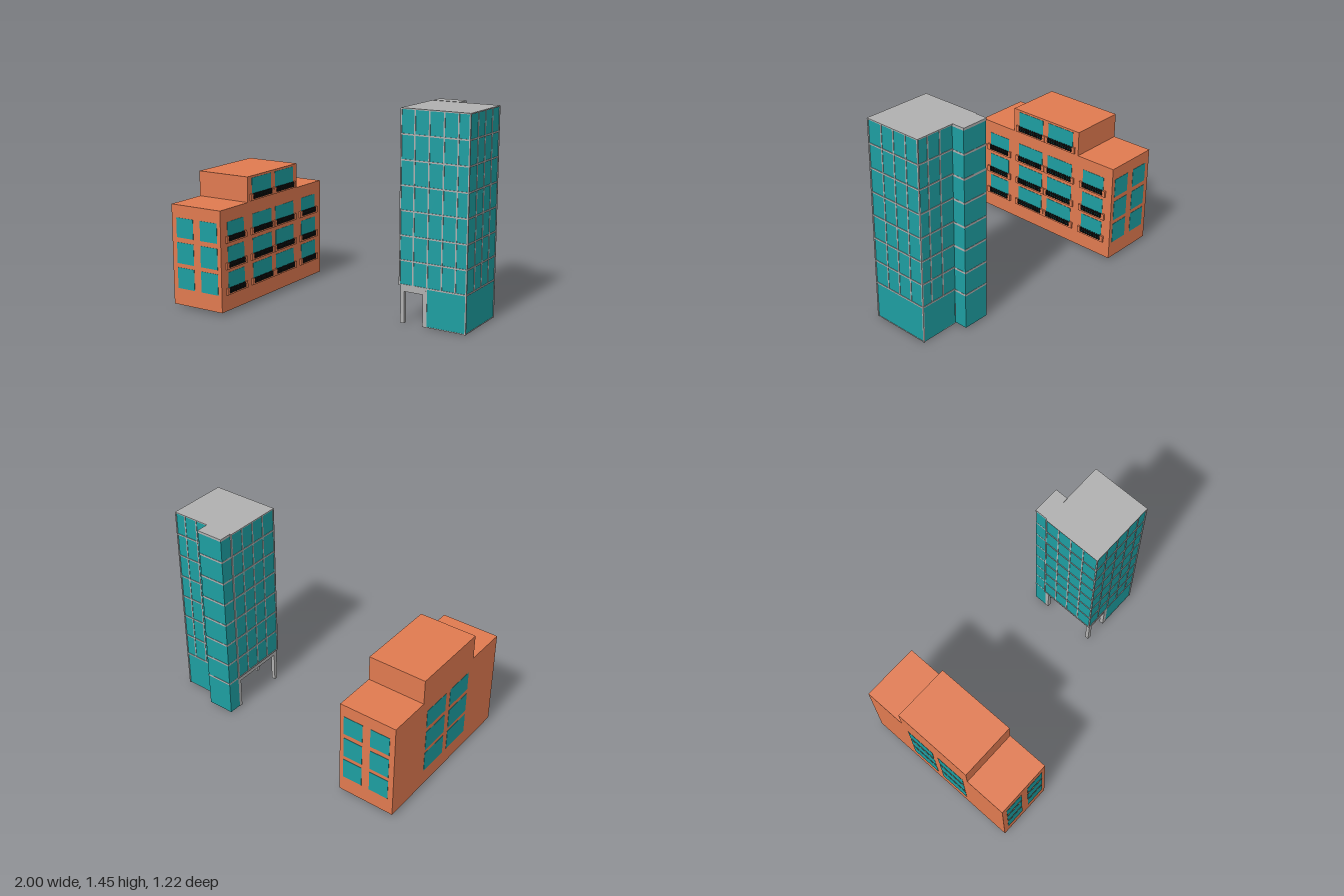
import * as THREE from 'three';

const mat = (color) => new THREE.MeshStandardMaterial({ color });
const BRICK = mat(0xe07a50);
const GLASS = mat(0x1d9ea1);
const TRIM = mat(0xb0b0b0);
const IRON = mat(0x101010);

// Box given by its extents along each axis
function box(parent, name, material, [x0, x1], [y0, y1], [z0, z1]) {
  const mesh = new THREE.Mesh(new THREE.BoxGeometry(x1 - x0, y1 - y0, z1 - z0), material);
  mesh.position.set((x0 + x1) / 2, (y0 + y1) / 2, (z0 + z1) / 2);
  mesh.name = name;
  parent.add(mesh);
  return mesh;
}

function group(parent, name) {
  const g = new THREE.Group();
  g.name = name;
  parent.add(g);
  return g;
}

// Low open frame with a black railing in front of a window
function balcony(parent, y, z0, z1) {
  const g = group(parent, 'balcony');
  const X = [-0.58, -0.567];
  const end = 0.023;
  box(g, 'balconyFloor', BRICK, X, [y, y + 0.01], [z0 - end, z1 + end]);
  box(g, 'balconyEnd', BRICK, X, [y, y + 0.047], [z0 - end, z0]);
  box(g, 'balconyEnd', BRICK, X, [y, y + 0.047], [z1, z1 + end]);
  box(g, 'handrail', IRON, [-0.574, -0.567], [y + 0.03, y + 0.04], [z0, z1]);
  box(g, 'lowerRail', IRON, [-0.574, -0.567], [y + 0.01, y + 0.015], [z0, z1]);
  const n = Math.round((z1 - z0) / 0.02);
  for (let i = 0; i < n; i++) {
    const z = z0 + ((i + 0.5) * (z1 - z0)) / n;
    box(g, 'railingBar', IRON, [-0.573, -0.565], [y + 0.01, y + 0.049], [z - 0.005, z + 0.005]);
  }
}

function apartmentBlock(parent) {
  const g = group(parent, 'apartmentBlock');
  box(g, 'lowerStoreys', BRICK, [-1, -0.58], [0.02, 0.735], [-0.61, 0.61]);
  box(g, 'topStorey', BRICK, [-1, -0.58], [0.735, 0.915], [-0.3, 0.3]);

  const rows = [[0.14, 0.29], [0.32, 0.47], [0.505, 0.645]];
  const inner = [0.025, 0.25];
  const outer = [0.352, 0.535];
  const e = 0.002;
  const flip = ([a, b]) => [-b, -a];

  for (const row of rows) {
    // End walls
    for (const x of [[-0.96, -0.815], [-0.755, -0.61]]) {
      box(g, 'endWindow', GLASS, x, row, [0.6, 0.61 + e]);
      box(g, 'endWindow', GLASS, x, row, [-0.61 - e, -0.6]);
    }
    // Plain long wall
    for (const z of [inner, flip(inner)]) box(g, 'rearWindow', GLASS, [-1 - e, -0.99], row, z);
    // Balcony wall
    for (const z of [outer, inner, flip(inner), flip(outer)]) {
      box(g, 'balconyWindow', GLASS, [-0.59, -0.58 + e], row, z);
      balcony(g, row[0] - 0.005, z[0], z[1]);
    }
  }
  for (const z of [inner, flip(inner)]) {
    box(g, 'topWindow', GLASS, [-0.59, -0.58 + e], [0.745, 0.9], z);
    balcony(g, 0.742, z[0], z[1]);
  }
}

function officeTower(parent) {
  const g = group(parent, 'officeTower');
  const x0 = 0.505, x1 = 0.995, z0 = -0.345, z1 = 0.085, top = 1.445;
  const e = 0.004;

  // Glass volumes: upper floors, set-in ground floor, stair shaft
  box(g, 'upperFloors', GLASS, [x0, x1], [0.262, top], [z0, z1]);
  box(g, 'groundFloor', GLASS, [0.71, x1], [0.003, 0.262], [z0, z1]);
  box(g, 'stairShaft', GLASS, [0.512, 0.708], [0.008, top - 0.005], [-0.44, z0]);
  box(g, 'roof', TRIM, [x0 - e, x1 + e], [top - 0.005, top + 0.003], [z0 - e, z1 + e]);
  box(g, 'shaftRoof', TRIM, [0.51, 0.71], [top - 0.012, top + 0.005], [-0.443, z0]);

  // Floor bands
  for (let i = 0; i < 7; i++) {
    const y = 0.267 + i * 0.1685;
    box(g, 'floorBand', TRIM, [x0 - e, x1 + e], [y - 0.005, y + 0.005], [z0 - e, z1 + e]);
    box(g, 'shaftBand', TRIM, [0.511, 0.709], [y - 0.014, y], [-0.442, z0]);
  }

  // Mullions on all four sides
  const w = 0.005, Y = [0.262, top];
  for (const x of [0.605, 0.71, 0.815, 0.915]) {
    box(g, 'mullion', TRIM, [x - w, x + w], Y, [z1 - w, z1 + 0.003]);
    if (x > 0.72) box(g, 'mullion', TRIM, [x - w, x + w], Y, [z0 - 0.003, z0 + w]);
  }
  for (const z of [-0.03, -0.135, -0.24]) {
    box(g, 'mullion', TRIM, [x1 - w, x1 + 0.003], Y, [z - w, z + w]);
    box(g, 'mullion', TRIM, [x0 - 0.003, x0 + w], Y, [z - w, z + w]);
  }

  // Corner posts; those over the entrance start above it
  for (const z of [z0, z1]) {
    box(g, 'cornerPost', TRIM, [x1 - w, x1 + e], [0, top], [z - w, z + w]);
    box(g, 'cornerPost', TRIM, [x0 - e, x0 + w], Y, [z - w, z + w]);
  }
  box(g, 'baseTrim', TRIM, [0.71, x1 + 0.002], [0, 0.006], [z0, z1 + 0.002]);

  // Open entrance portico
  const p = group(g, 'entrance');
  box(p, 'entrancePost', TRIM, [0.513, 0.541], [0, 0.25], [0.057, 0.085]);
  box(p, 'entrancePost', TRIM, [0.681, 0.712], [0, 0.25], [0.057, 0.087]);
  box(p, 'rearPost', TRIM, [0.513, 0.541], [0, 0.25], [z0, z0 + 0.028]);
  box(p, 'frontLintel', TRIM, [0.513, 0.712], [0.222, 0.262], [0.057, 0.086]);
  box(p, 'sideLintel', TRIM, [0.513, 0.541], [0.222, 0.262], [z0, 0.057]);
}

export function createModel() {
  const model = new THREE.Group();
  model.name = 'twoBuildings';
  apartmentBlock(model);
  officeTower(model);
  return model;
}
